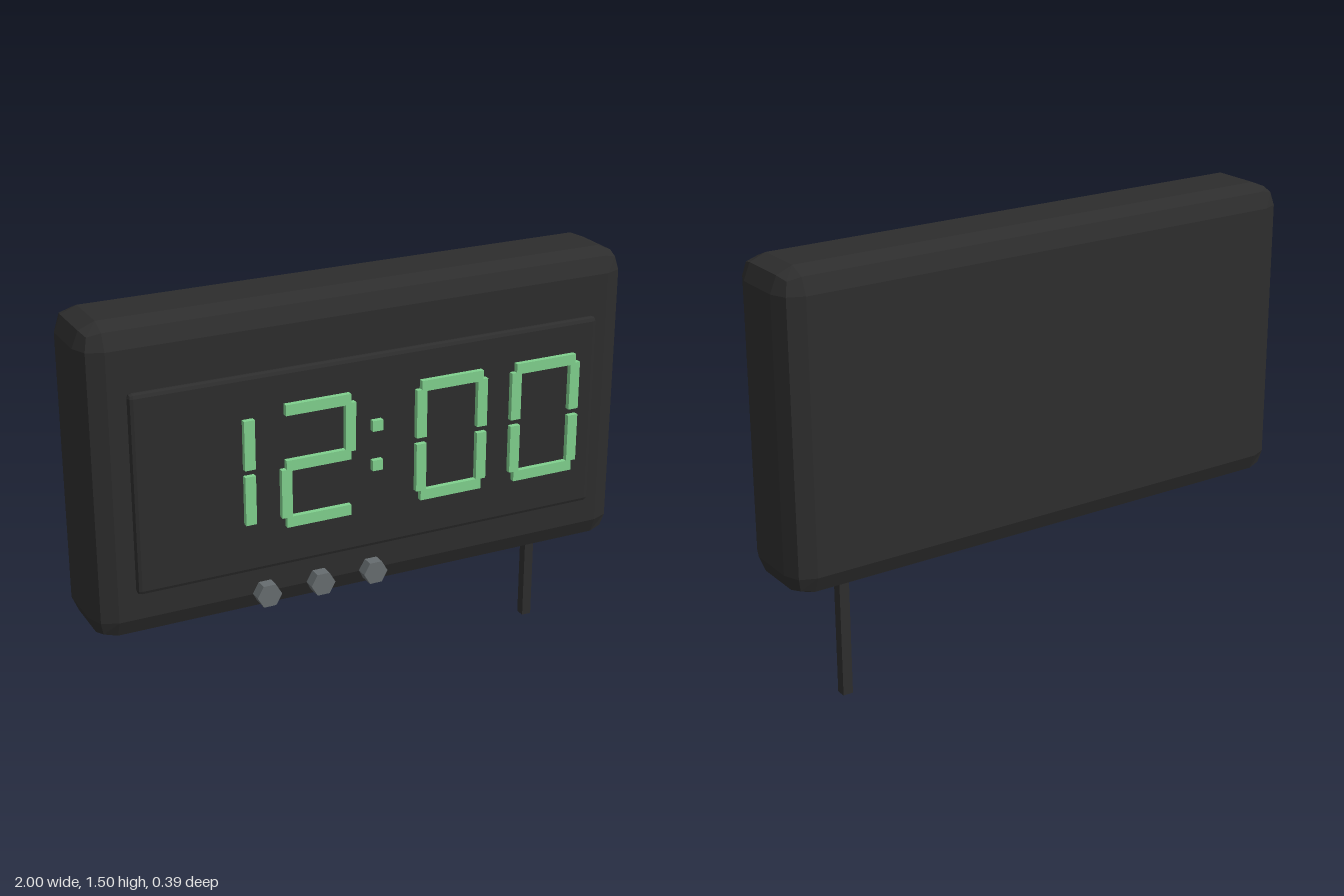
import * as THREE from 'three';
import { RoundedBoxGeometry } from 'three/addons/geometries/RoundedBoxGeometry.js';

export function createModel() {
  const clock = new THREE.Group();
  clock.name = 'digitalClock';

  const material = (name, color) => {
    const m = new THREE.MeshStandardMaterial({ color, flatShading: true });
    m.name = name;
    return m;
  };
  const black = material('black plastic', 0x2d2d2d);
  const green = material('green display', 0x7fd08d);
  const grey = material('grey button', 0x666c6f);

  const add = (name, geometry, mat, x, y, z, parent = clock) => {
    const mesh = new THREE.Mesh(geometry, mat);
    mesh.name = name;
    mesh.position.set(x, y, z);
    parent.add(mesh);
    return mesh;
  };

  // Case and raised screen, both with two-facet bevels
  add('case', new RoundedBoxGeometry(2, 1.1, 0.334, 1, 0.08), black, 0, 0.95, -0.026);
  add('screen', new RoundedBoxGeometry(1.724, 0.7, 0.035, 1, 0.015), black, 0, 0.93, 0.1575);

  // Single post below the case
  add('post', new THREE.BoxGeometry(0.036, 0.42, 0.036), black, 0.798, 0.21, -0.124);

  // Seven-segment digits
  const T = 0.038, Z = 0.182, D = 0.024;
  const bar = new THREE.BoxGeometry(0.236, T, D);
  const upright = new THREE.BoxGeometry(T, 0.173, D);
  const segments = {
    top: [bar, 0, 1.145],
    middle: [bar, 0, 0.949],
    bottom: [bar, 0, 0.746],
    upperLeft: [upright, -0.117, 1.046],
    upperRight: [upright, 0.117, 1.046],
    lowerLeft: [upright, -0.117, 0.85],
    lowerRight: [upright, 0.117, 0.85],
  };
  const one = ['upperRight', 'lowerRight'];
  const two = ['top', 'upperRight', 'middle', 'lowerLeft', 'bottom'];
  const zero = Object.keys(segments).filter((s) => s !== 'middle');

  [[one, -0.582], [two, -0.218], [zero, 0.283], [zero, 0.651]].forEach(([parts, x], i) => {
    const digit = new THREE.Group();
    digit.name = `digit${i + 1}`;
    digit.position.x = x;
    clock.add(digit);
    for (const part of parts) {
      const [geometry, sx, sy] = segments[part];
      add(part, geometry, green, sx, sy, Z, digit);
    }
  });

  // Colon
  const dot = new THREE.BoxGeometry(T, T, D);
  for (const y of [1.033, 0.89]) add('colonDot', dot, green, 0, y, Z);

  // Hexagonal buttons, corners pointing sideways
  const hex = new THREE.CylinderGeometry(0.045, 0.045, 0.06, 6);
  hex.rotateY(Math.PI / 6).rotateX(Math.PI / 2);
  for (const x of [-0.4, -0.2, 0]) add('button', hex, grey, x, 0.482, 0.153);

  return clock;
}
